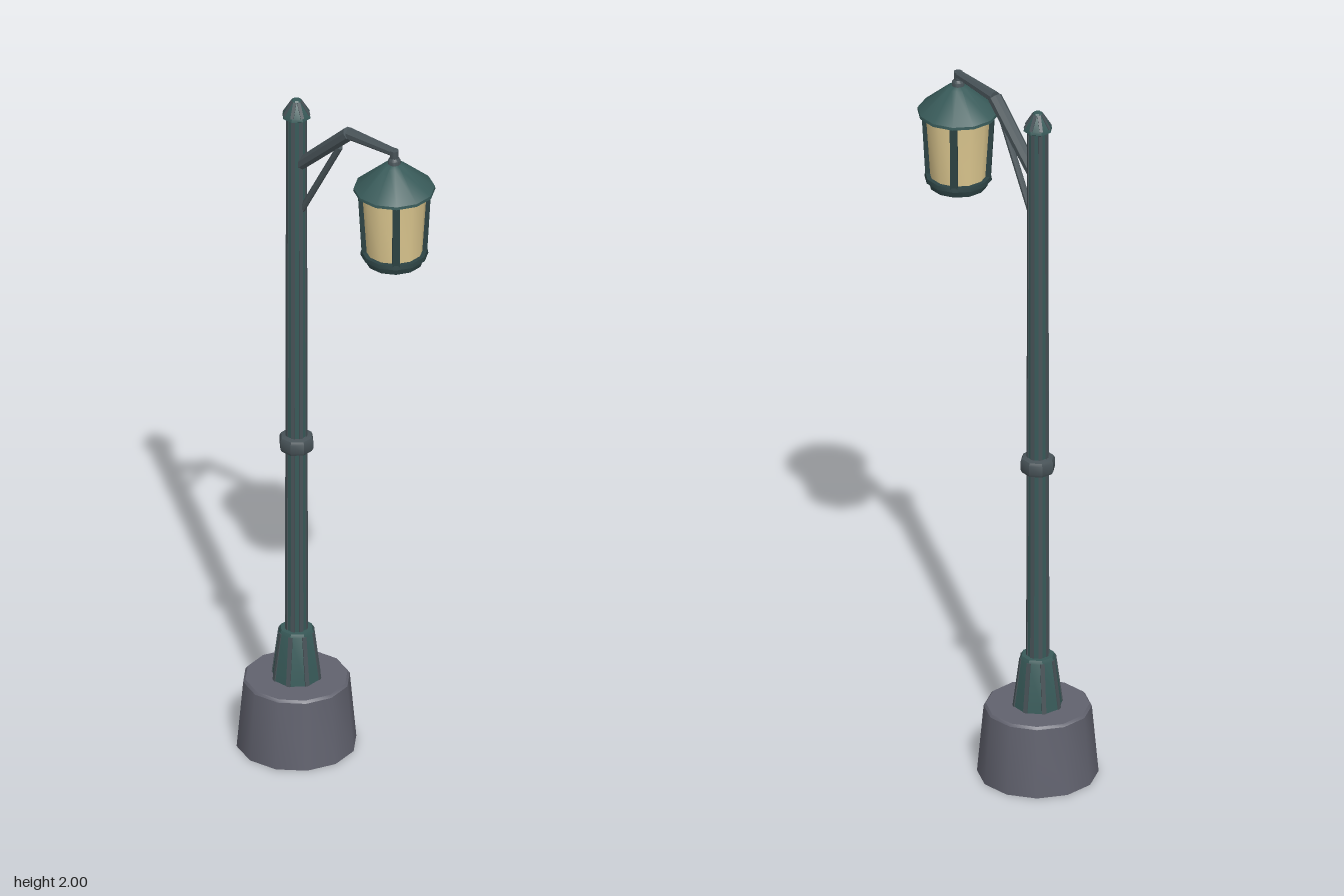
import * as THREE from 'three';
import { toCreasedNormals } from 'three/addons/utils/BufferGeometryUtils.js';

export function createModel() {
  const model = new THREE.Group();
  model.name = 'streetLamp';

  const paint = (name, color) => {
    const m = new THREE.MeshStandardMaterial({ color });
    m.name = name;
    return m;
  };
  const stone = paint('stone', 0x61626e);
  stone.side = THREE.DoubleSide;
  const green = paint('greenIron', 0x385a59);
  const iron = paint('greyIron', 0x485358);
  const dark = paint('darkIron', 0x2d4344);
  const glass = paint('warmGlass', 0xdcc78f);

  const add = (name, geometry, material, parent = model) => {
    const mesh = new THREE.Mesh(geometry, material);
    mesh.name = name;
    parent.add(mesh);
    return mesh;
  };

  // Faceted turned part: profile is [radius, y] from bottom to top
  const turned = (name, sides, profile, material, x, start = Math.PI / sides) => {
    const points = profile.map(([r, y]) => new THREE.Vector2(r, y));
    const geometry = new THREE.LatheGeometry(points, sides, start);
    const mesh = add(name, toCreasedNormals(geometry, 0.6), material);
    mesh.position.x = x;
    return mesh;
  };

  // Octagonal rod from a to b with a radius at each end
  const rod = (name, a, b, ra, rb, material) => {
    const from = new THREE.Vector3(...a), to = new THREE.Vector3(...b);
    const dir = to.clone().sub(from);
    const geometry = new THREE.CylinderGeometry(rb, ra, dir.length(), 8);
    geometry.rotateY(Math.PI / 8);
    const mesh = add(name, toCreasedNormals(geometry, 0.6), material);
    mesh.position.copy(from).add(to).multiplyScalar(0.5);
    mesh.quaternion.setFromUnitVectors(new THREE.Vector3(0, 1, 0), dir.normalize());
    return mesh;
  };

  // Ring of flat strips leaning from [radius, y] low to [radius, y] high
  const strips = (name, count, start, low, high, width, depth, material, x) => {
    const rise = high[1] - low[1], run = high[0] - low[0];
    const geometry = new THREE.BoxGeometry(width, Math.hypot(rise, run), depth);
    geometry.rotateX(Math.atan2(run, rise));
    geometry.translate(0, (low[1] + high[1]) / 2, (low[0] + high[0]) / 2);
    const ring = new THREE.Group();
    ring.name = name;
    ring.position.x = x;
    model.add(ring);
    for (let i = 0; i < count; i++) {
      add(name + (i + 1), geometry, material, ring).rotation.y = start + (i * 2 * Math.PI) / count;
    }
  };

  const postX = -0.149, lampX = 0.205, corner = Math.PI / 8;

  // Hollow stone footing with a small bevelled rim
  turned('footing', 12, [[0.164, 0], [0.146, 0.198], [0.14, 0.205], [0, 0.205]],
    stone, postX, -0.14);

  // Post, with grey strips along the corners
  turned('pedestal', 8, [[0.069, 0.2], [0.05, 0.345], [0.045, 0.355], [0, 0.355]], green, postX);
  strips('pedestalEdge', 8, corner, [0.067, 0.205], [0.048, 0.347], 0.012, 0.004, iron, postX);
  turned('post', 8, [[0.031, 0.34], [0.028, 1.95]], green, postX);
  strips('postEdge', 8, corner, [0.0295, 0.355], [0.0265, 1.945], 0.011, 0.003, iron, postX);
  turned('collar', 8, [[0.028, 0.908], [0.044, 0.912], [0.048, 0.92], [0.048, 0.945],
    [0.044, 0.953], [0.028, 0.957]], iron, postX);
  turned('finial', 8, [[0.026, 1.94], [0.04, 1.948], [0.038, 1.957], [0.014, 1.996],
    [0.011, 2], [0, 2]], green, postX);
  strips('finialEdge', 8, corner, [0.037, 1.957], [0.013, 1.996], 0.009, 0.003, iron, postX);

  // Bent arm, its brace and the hanger
  const elbow = [0.042, 1.967, 0];
  rod('lowerArm', [-0.145, 1.795, 0], elbow, 0.018, 0.02, iron);
  rod('upperArm', elbow, [0.206, 1.971, 0], 0.017, 0.012, iron);
  rod('brace', [-0.14, 1.645, 0], [0.008, 1.912, 0], 0.009, 0.009, iron);
  turned('hanger', 12, [[0.018, 1.93], [0.017, 1.948], [0.012, 1.955], [0.012, 1.978], [0, 1.982]],
    iron, lampX);

  // Lantern
  turned('lanternRoof', 12, [[0, 1.855], [0.111, 1.855], [0.11, 1.863], [0.03, 1.932], [0, 1.945]],
    green, lampX);
  turned('lanternGlass', 12, [[0.077, 1.655], [0.09, 1.857]], glass, lampX);
  turned('lanternTray', 12, [[0, 1.635], [0.079, 1.635], [0.084, 1.653], [0.092, 1.656],
    [0.09, 1.668], [0, 1.668]], dark, lampX);
  strips('lanternBar', 4, Math.PI / 4, [0.081, 1.66], [0.092, 1.857], 0.02, 0.014, dark, lampX);

  return model;
}
